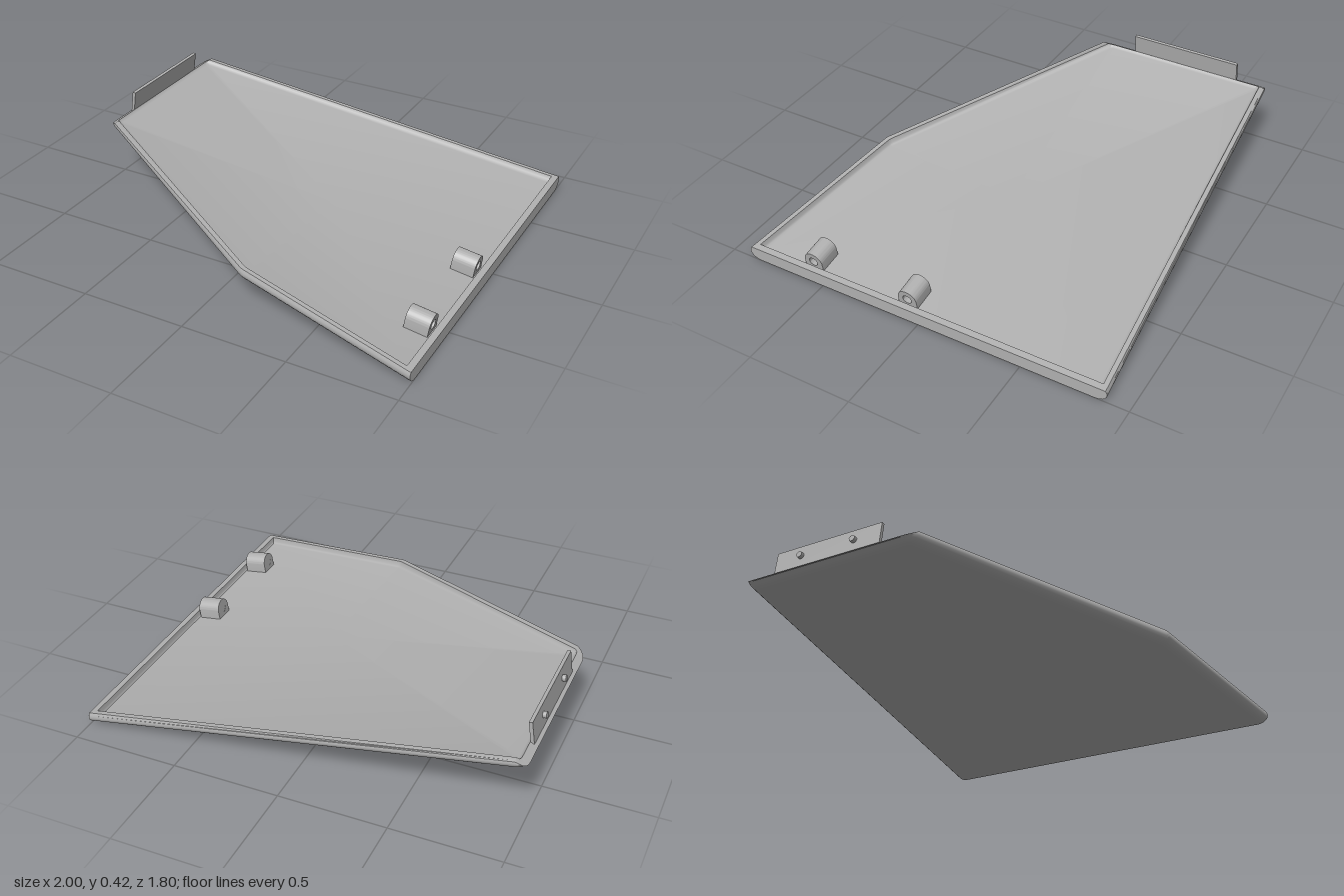
import * as THREE from 'three';
import { toCreasedNormals } from 'three/addons/utils/BufferGeometryUtils.js';

const SLOPE = 0.142;                       // the panel rises towards -x
const TILT = -Math.atan(SLOPE);
const baseY = (x) => SLOPE * (1 - x);

// Plan outline (x, z), anticlockwise from above, with corner rounding
const CORNERS = [[1, -0.9, 0], [-1, -0.777, 0.05], [-1, 0.09, 0.05], [0.135, 0.745, 0.02], [1, 0.9, 0]];

// Inset the outline; the right-hand edge has its own distance
function insetOutline(d, dRight) {
  const n = CORNERS.length;
  const edges = CORNERS.map(([x, z], i) => {
    const [x2, z2] = CORNERS[(i + 1) % n];
    const len = Math.hypot(x2 - x, z2 - z);
    const nx = (z2 - z) / len, nz = -(x2 - x) / len;
    return { nx, nz, c: nx * x + nz * z + (i === n - 1 ? dRight : d) };
  });
  const sharp = CORNERS.map((_, i) => {
    const a = edges[(i + n - 1) % n], b = edges[i];
    const det = a.nx * b.nz - a.nz * b.nx;
    return new THREE.Vector2((a.c * b.nz - b.c * a.nz) / det, (a.nx * b.c - b.nx * a.c) / det);
  });
  const out = [];
  sharp.forEach((p, i) => {
    const r = CORNERS[i][2];
    if (!r) return out.push(p);
    const cut = Math.max(r - d, 0.012);
    const toward = (q) => p.clone().add(q.clone().sub(p).setLength(cut));
    const curve = new THREE.QuadraticBezierCurve(toward(sharp[(i + n - 1) % n]), p, toward(sharp[(i + 1) % n]));
    out.push(...curve.getPoints(6));
  });
  return out;
}

// Tray skin: rings from the underside, round the edge, over the rim and onto the floor
function trayGeometry() {
  // inset, height, inset at the flat right end
  const profile = [
    [0.05, 0, 0], [0.034, 0.003, 0], [0.02, 0.009, 0], [0.009, 0.018, 0], [0.002, 0.028, 0],
    [0, 0.037, 0], [0.002, 0.048, 0], [0.008, 0.06, 0],
    [0.03, 0.06, 0.03], [0.034, 0.04, 0.034], [0.04, 0.033, 0.037], [0.05, 0.03, 0.04],
  ];
  const rings = profile.map(([d, h, dr]) => insetOutline(d, dr).map((p) => {
    const low = 0.016 + 0.7 * (p.x + 1);   // rim is cut down at the high end
    return [p.x, baseY(p.x) + Math.min(h, low), p.y];
  }));
  const pos = [];
  const count = rings[0].length;
  const underside = [0.2, baseY(0.2), 0], floor = [0.2, baseY(0.2) + 0.03, 0];
  for (let j = 0; j < count; j++) {
    const k = (j + 1) % count;
    pos.push(...underside, ...rings[0][k], ...rings[0][j]);
    for (let i = 0; i < rings.length - 1; i++) {
      const a = rings[i][j], b = rings[i][k], c = rings[i + 1][k], d = rings[i + 1][j];
      pos.push(...a, ...b, ...c, ...a, ...c, ...d);
    }
    const top = rings[rings.length - 1];
    pos.push(...top[j], ...top[k], ...floor);
  }
  const geo = new THREE.BufferGeometry();
  geo.setAttribute('position', new THREE.Float32BufferAttribute(pos, 3));
  return toCreasedNormals(geo, 0.6);
}

// Arched boss with a bore, lying along x
function bossGeometry(r, length) {
  const shape = new THREE.Shape();
  shape.moveTo(-r, -r);
  shape.lineTo(r, -r);
  shape.lineTo(r, 0);
  shape.absarc(0, 0, r, 0, Math.PI, false);
  shape.closePath();
  const hole = new THREE.Path();
  hole.absarc(0, 0, 0.022, 0, Math.PI * 2, true);
  shape.holes.push(hole);
  const geo = new THREE.ExtrudeGeometry(shape, { depth: length, bevelEnabled: false, curveSegments: 20 });
  geo.translate(0, 0, -length / 2);
  geo.rotateY(Math.PI / 2);
  return toCreasedNormals(geo, 0.6);
}

export function createModel() {
  const model = new THREE.Group();
  model.name = 'wedgePanel';
  const grey = new THREE.MeshStandardMaterial({ color: 0xb0b0b0 });
  grey.name = 'grey';
  const add = (parent, name, geo, x = 0, y = 0, z = 0) => {
    const mesh = new THREE.Mesh(geo, grey);
    mesh.name = name;
    mesh.position.set(x, y, z);
    parent.add(mesh);
    return mesh;
  };

  add(model, 'tray', trayGeometry());

  // Hinge bosses near the low end, each with a blind bore
  for (const z of [0.078, 0.575]) {
    const boss = new THREE.Group();
    boss.name = 'hingeBoss';
    boss.position.set(0.903, 0.083, z);
    boss.rotation.z = TILT;
    add(boss, 'bossBody', bossGeometry(0.047, 0.11));
    add(boss, 'boreEnd', new THREE.CylinderGeometry(0.0225, 0.0225, 0.05, 20), -0.029).rotation.z = Math.PI / 2;
    model.add(boss);
  }

  // Upright tab at the high end with two small pins on its outer face
  const tab = new THREE.Group();
  tab.name = 'mountingTab';
  tab.position.set(-0.969, 0.358, -0.345);
  tab.rotation.z = TILT;
  add(tab, 'tabPlate', new THREE.BoxGeometry(0.016, 0.115, 0.555));
  for (const z of [-0.14, 0.14]) {
    add(tab, 'tabPin', new THREE.CylinderGeometry(0.015, 0.015, 0.02, 16), -0.015, 0.005, z).rotation.z = Math.PI / 2;
  }
  model.add(tab);

  return model;
}
